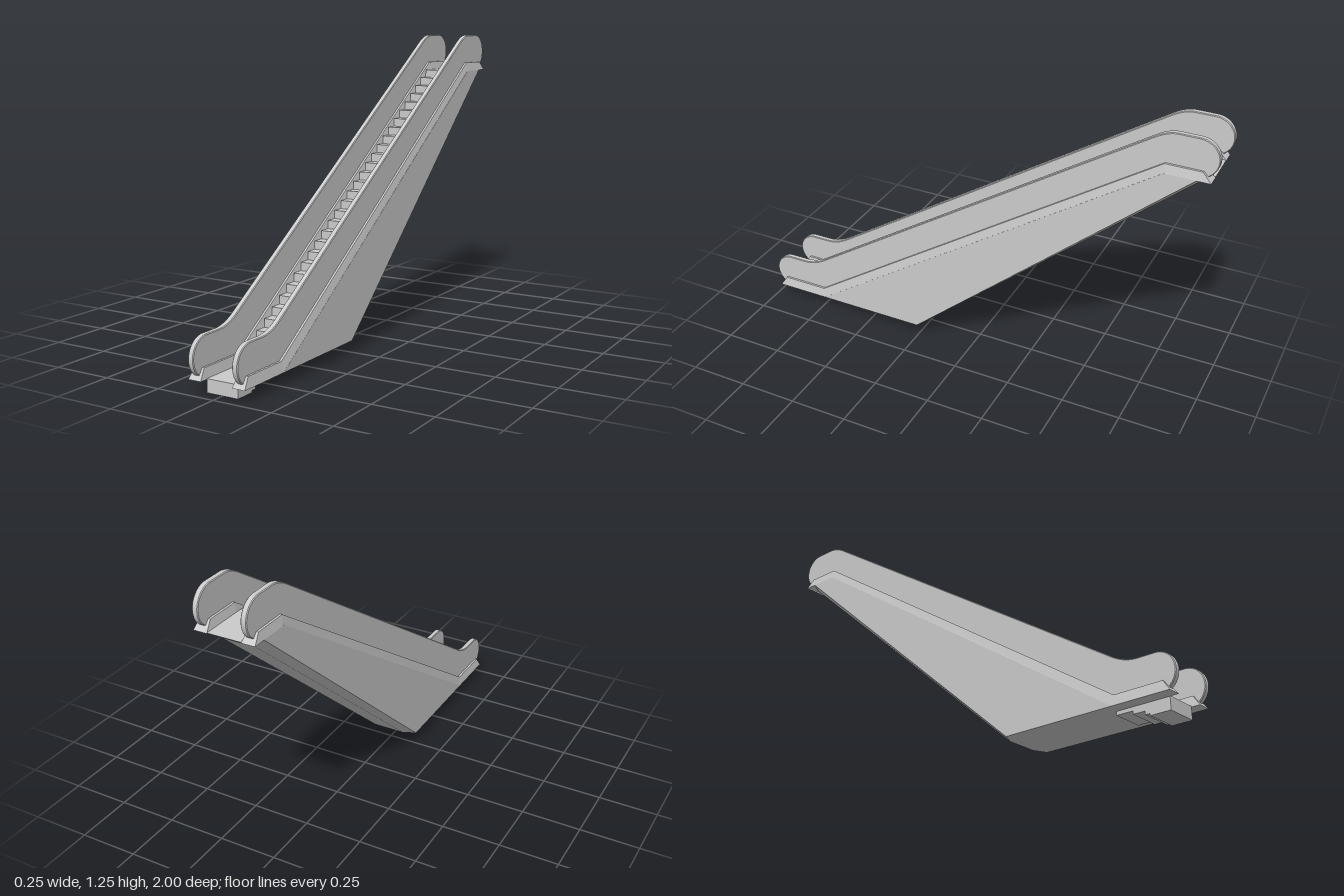
import * as THREE from 'three';

const mat = new THREE.MeshStandardMaterial({ color: 0xcccccc, side: THREE.DoubleSide });

// Joins rings of points (counter-clockwise about the direction of travel) into a capped, sharp-edged solid
function loft(rings) {
  const pos = [];
  const quad = (a, b, c, d) => pos.push(...a, ...b, ...c, ...a, ...c, ...d);
  const n = rings[0].length;
  for (let i = 0; i < rings.length - 1; i++) {
    for (let j = 0; j < n; j++) {
      const k = (j + 1) % n;
      quad(rings[i][j], rings[i][k], rings[i + 1][k], rings[i + 1][j]);
    }
  }
  quad(...[...rings[0]].reverse());
  quad(...rings[rings.length - 1]);
  const geo = new THREE.BufferGeometry();
  geo.setAttribute('position', new THREE.Float32BufferAttribute(pos, 3));
  geo.computeVertexNormals();
  return geo;
}

// Extrudes a side profile, drawn with (-z, y), across x and centres it
function extrudeAcross(shape, width, bevel = 0) {
  const depth = width - 2 * bevel;
  const geo = new THREE.ExtrudeGeometry(shape, {
    depth, curveSegments: 14, bevelEnabled: bevel > 0,
    bevelSize: bevel, bevelThickness: bevel, bevelOffset: -bevel, bevelSegments: 1,
  });
  geo.translate(0, 0, -depth / 2);
  geo.rotateY(Math.PI / 2);
  return geo;
}

function add(parent, name, geo, x = 0) {
  const mesh = new THREE.Mesh(geo, mat);
  mesh.name = name;
  mesh.position.x = x;
  parent.add(mesh);
}

// Wedge-shaped casing with a chamfered underside
function casingGeometry() {
  const ring = (x, low, high) => [[x, 0.05, 0.74], [x, 0.05, low], [x, 1.09, high], [x, 1.09, -0.8]];
  return loft([
    ring(-0.125, 0.255, -0.925), ring(-0.07, 0.23, -0.96),
    ring(0.07, 0.23, -0.96), ring(0.125, 0.255, -0.925),
  ]);
}

// Sloped-sided curb that carries a balustrade: [bottom z, bottom y, top z, top y]
function curbGeometry() {
  const stations = [
    [0.98, 0.05, 0.95, 0.093], [0.735, 0.05, 0.745, 0.093],
    [-0.81, 1.09, -0.8, 1.128], [-0.98, 1.09, -0.945, 1.128],
  ];
  return loft(stations.map(([zb, yb, zt, yt]) => [
    [-0.028, yb, zb], [-0.021, yt, zt], [0.021, yt, zt], [0.028, yb, zb],
  ]));
}

// Balustrade with rounded ends
function balustradeGeometry() {
  const s = new THREE.Shape();
  s.moveTo(-0.74, 0.06);
  s.lineTo(-0.955, 0.06);
  s.absarc(-0.92, 0.13, 0.08, -2.05, Math.PI / 2, true);
  s.lineTo(-0.85, 0.21);
  s.quadraticCurveTo(-0.795, 0.21, -0.74, 0.245);
  s.lineTo(0.75, 1.222);
  s.quadraticCurveTo(0.8, 1.255, 0.84, 1.255);
  s.lineTo(0.92, 1.255);
  s.absarc(0.92, 1.175, 0.08, Math.PI / 2, -1.05, true);
  s.lineTo(0.8, 1.1);
  return extrudeAcross(s, 0.024, 0.003);
}

// Flight of steps with a landing at each end
function stepsGeometry() {
  const count = 30, dz = 1.54 / count, dy = 1.04 / count;
  const s = new THREE.Shape();
  s.moveTo(-0.945, 0);
  s.lineTo(-0.945, 0.053);
  for (let i = 0; i < count; i++) {
    const a = -0.74 + i * dz, y = 0.053 + i * dy;
    s.lineTo(a, y);
    s.lineTo(a, y + dy);
  }
  s.lineTo(0.98, 1.093);
  s.lineTo(0.97, 1.083);
  s.lineTo(0.8, 1.07);
  s.lineTo(-0.68, 0.06);
  // underside, stepping down to the floor
  for (const [a, y] of [[-0.72, 0.035], [-0.79, 0.022], [-0.84, 0.008]]) {
    s.lineTo(a, s.currentPoint.y);
    s.lineTo(a, y);
  }
  s.lineTo(-0.86, 0.008);
  s.lineTo(-0.86, 0);
  return extrudeAcross(s, 0.138);
}

export function createModel() {
  const model = new THREE.Group();
  model.name = 'escalator';
  add(model, 'casing', casingGeometry());
  add(model, 'steps', stepsGeometry());
  const curb = curbGeometry(), balustrade = balustradeGeometry();
  for (const [side, sign] of [['left', 1], ['right', -1]]) {
    add(model, side + 'Curb', curb, sign * 0.097);
    add(model, side + 'Balustrade', balustrade, sign * 0.097);
  }
  return model;
}
